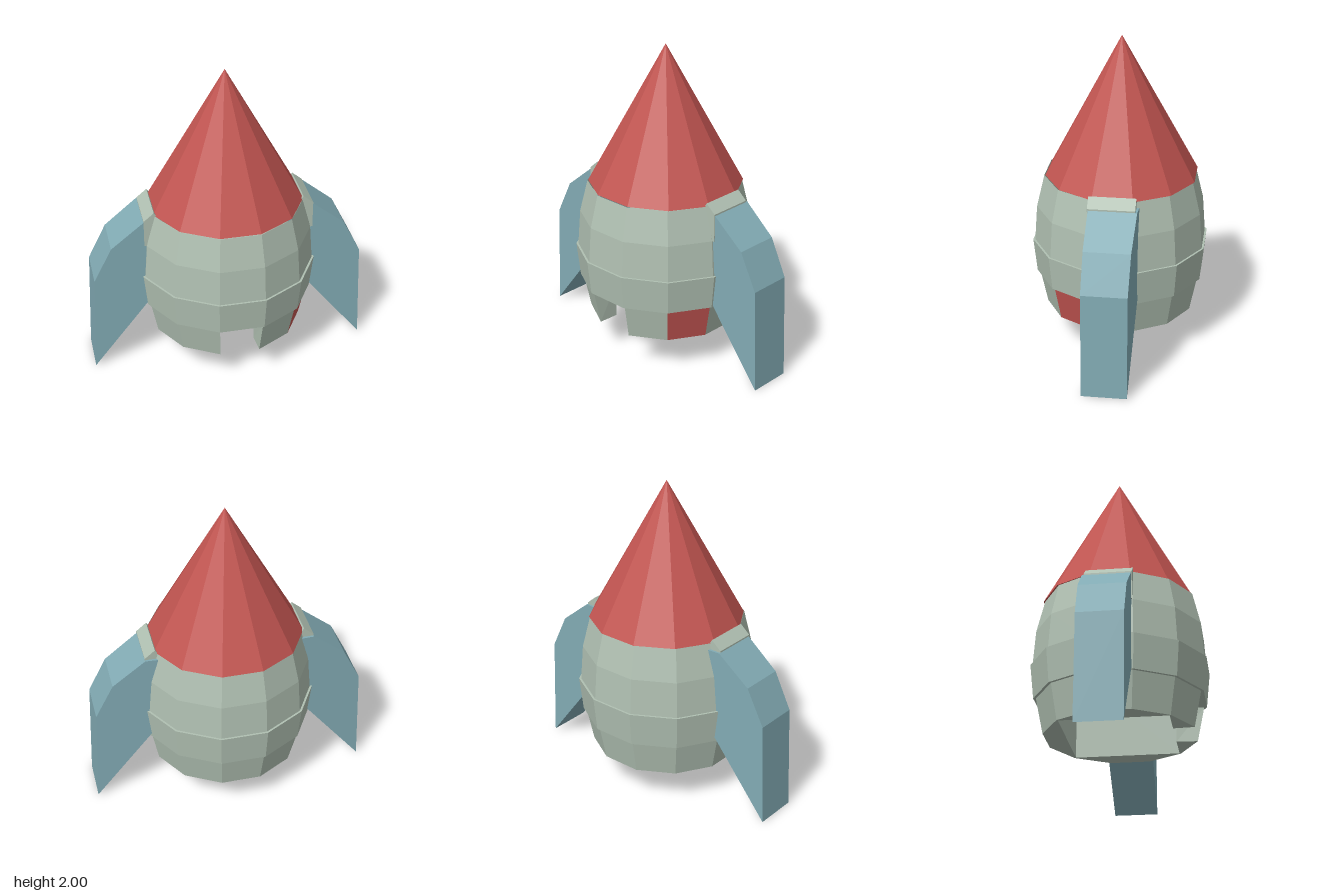
import * as THREE from 'three';

const mat = (name, color) => new THREE.MeshStandardMaterial({ name, color, flatShading: true, side: THREE.DoubleSide });
const rad = THREE.MathUtils.degToRad;

// Four-cornered faces joined into one geometry
function quads(list) {
  const pos = [];
  for (const [a, b, c, d] of list) pos.push(...a, ...b, ...c, ...a, ...c, ...d);
  const g = new THREE.BufferGeometry();
  g.setAttribute('position', new THREE.Float32BufferAttribute(pos, 3));
  g.computeVertexNormals();
  return g;
}

// Prism from a side outline in x-y, spanning z0 to z1
function prism(points, z0, z1) {
  const shape = new THREE.Shape(points.map(p => new THREE.Vector2(...p)));
  const g = new THREE.ExtrudeGeometry(shape, { depth: z1 - z0, bevelEnabled: false });
  return g.translate(0, 0, z0);
}

export function createModel() {
  const hullMat = mat('paleGreenGrey', 0xb0c0b2);
  const redMat = mat('red', 0xc25551);
  const finMat = mat('tealBlue', 0x82abb4);

  const root = new THREE.Group();
  root.name = 'rocket';
  const body = new THREE.Group();
  body.name = 'body';
  body.scale.x = 1.02;
  root.add(body);
  const add = (parent, name, geometry, material) => {
    const m = new THREE.Mesh(geometry, material);
    m.name = name;
    parent.add(m);
    return m;
  };

  // Twelve-sided hull with the raised belt
  const profile = [[0.523, 0.45], [0.54, 0.45], [0.563, 0.67], [0.55, 0.67], [0.533, 0.9], [0.482, 1.11]];
  add(body, 'hull', new THREE.LatheGeometry(profile.map(p => new THREE.Vector2(...p)), 12, rad(15)), hullMat);

  // Nose cone
  add(body, 'noseCone', new THREE.ConeGeometry(0.484, 0.89, 12, 1, false, rad(15)), redMat)
    .position.set(0, 1.555, -0.008);

  // Lower skirt: one red panel, and a gap at the front for the doorway
  const rTop = 0.523, rBot = 0.477, yTop = 0.45, yBot = 0.225;
  const skirt = (name, start, count, material) => {
    const g = new THREE.CylinderGeometry(rTop, rBot, yTop - yBot, count, 1, true, rad(start), rad(count * 30));
    add(body, name, g.translate(0, (yTop + yBot) / 2, 0), material);
  };
  skirt('skirtFrontPanel', 15, 1, hullMat);
  skirt('skirtRedPanel', 45, 1, redMat);
  skirt('skirtPanels', 75, 9, hullMat);

  // Flat underside around the square bay
  const s = 0.33, n = 0.115, bayTop = 0.8;
  const outline = [];
  for (let i = 0; i < 12; i++) {
    const a = rad(15 + 30 * i);
    outline.push(new THREE.Vector2(rBot * Math.sin(a), rBot * Math.cos(a)));
  }
  for (const [x, z] of [[-n, s], [-s, s], [-s, -s], [s, -s], [s, s], [n, s]]) outline.push(new THREE.Vector2(x, z));
  const underside = new THREE.ShapeGeometry(new THREE.Shape(outline)).rotateX(Math.PI / 2).translate(0, yBot, 0);
  add(body, 'underside', underside, hullMat);

  // Bay walls, ceiling and doorway lining
  const faces = [
    [[-s, yBot, -s], [s, yBot, -s], [s, bayTop, -s], [-s, bayTop, -s]],
    [[-s, bayTop, -s], [s, bayTop, -s], [s, bayTop, s], [-s, bayTop, s]],
    [[n, yTop, s], [-n, yTop, s], [-n, bayTop, s], [n, bayTop, s]],
  ];
  const sin = Math.sin(rad(15)), cos = Math.cos(rad(15));
  for (const k of [1, -1]) {
    const wall = [
      [[k * s, yBot, s], [k * s, yBot, -s], [k * s, bayTop, -s], [k * s, bayTop, s]],
      [[k * s, yBot, s], [k * s, bayTop, s], [k * n, bayTop, s], [k * n, yBot, s]],
      [[k * n, yBot, s], [k * n, yTop, s], [k * rTop * sin, yTop, rTop * cos], [k * rBot * sin, yBot, rBot * cos]],
    ];
    faces.push(...wall.map(f => (k > 0 ? f : f.reverse())));
  }
  faces.push([[-n, yTop, s], [n, yTop, s], [rTop * sin, yTop, rTop * cos], [-rTop * sin, yTop, rTop * cos]]);
  add(body, 'engineBay', quads(faces), hullMat);

  // Fins and their top brackets, mirrored on both sides
  const finOutline = [[0.46, 0.55], [0.54, 0.45], [0.89, 0], [0.865, 0.67], [0.75, 0.9], [0.54, 1.07], [0.46, 1.07]];
  const bracketOutline = [[0.44, 0.9], [0.54, 0.9], [0.54, 1.08], [0.475, 1.135], [0.44, 1.08]];
  for (const k of [1, -1]) {
    const place = pts => pts.map(([x, y]) => [k * x, y]);
    const side = k > 0 ? 'left' : 'right';
    const fin = prism(place(finOutline), -0.15, 0.13);
    // The rear face flares gently towards the hull
    const p = fin.attributes.position;
    for (let i = 0; i < p.count; i++) {
      if (p.getZ(i) < 0) p.setZ(i, p.getZ(i) - Math.max(0, 0.89 - Math.abs(p.getX(i))) * 0.05);
    }
    fin.computeVertexNormals();
    add(root, side + 'Fin', fin, finMat);
    add(root, side + 'FinBracket', prism(place(bracketOutline), -0.155, 0.135), hullMat);
  }
  return root;
}
